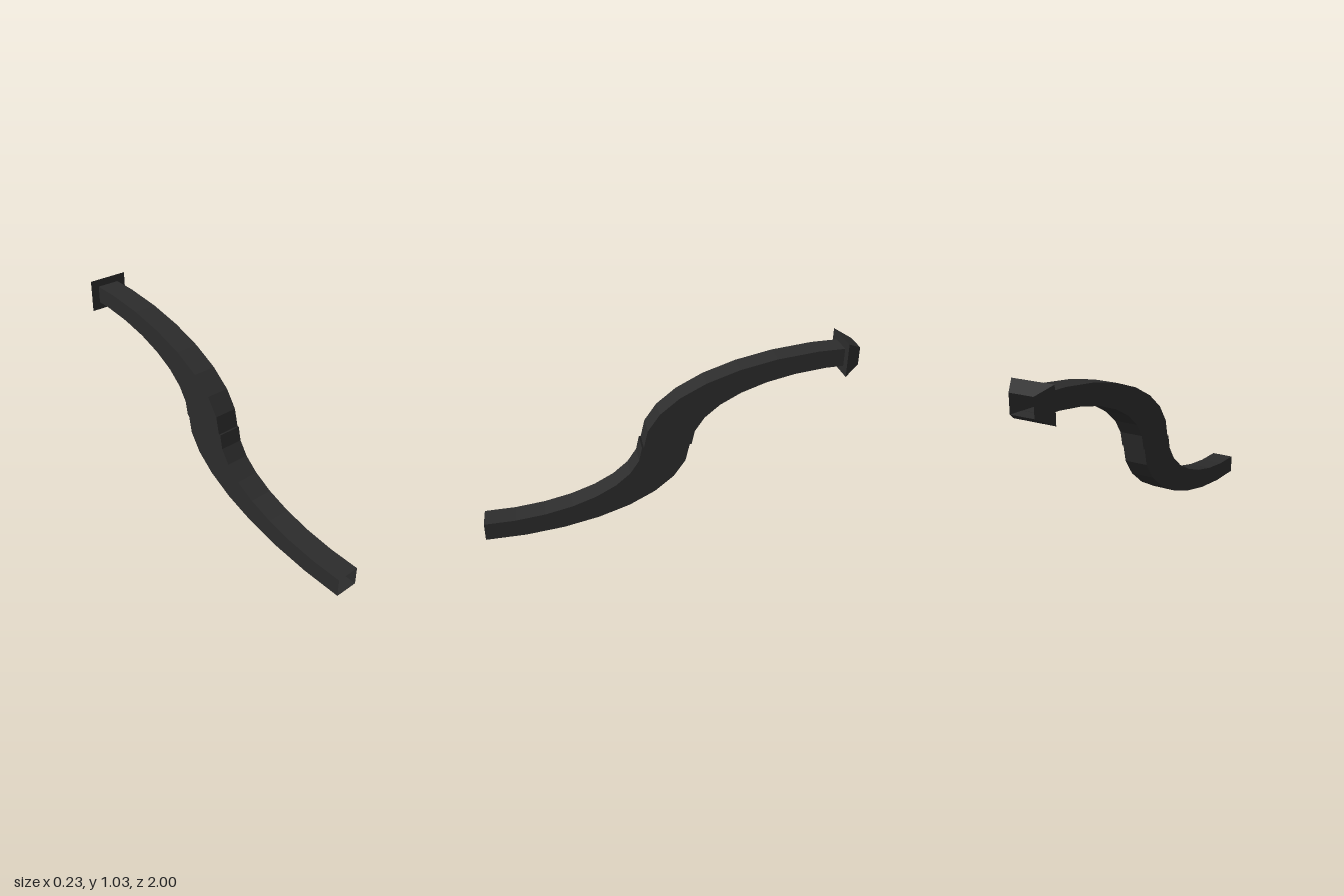
import * as THREE from 'three';

const charcoal = new THREE.MeshStandardMaterial({ color: 0x2c2c2c, side: THREE.DoubleSide });
charcoal.name = 'charcoal';

const STEPS = 8;
const HALF_WIDTH = 0.065;
const MID_Y = 0.495;

// Rectangular cross-section: corners counter-clockwise seen from the front
function ring(halfWidth, [bottomZ, bottomY], [topZ, topY]) {
  return [
    [-halfWidth, bottomY, bottomZ], [halfWidth, bottomY, bottomZ],
    [halfWidth, topY, topZ], [-halfWidth, topY, topZ],
  ];
}

// Open-ended skin through the rings, listed from front to back
function loft(name, rings) {
  const pos = [];
  for (let i = 0; i < rings.length - 1; i++) {
    const r = rings[i], s = rings[i + 1];
    for (let a = 0; a < 4; a++) {
      const b = (a + 1) % 4;
      pos.push(...r[a], ...s[a], ...s[b], ...r[a], ...s[b], ...r[b]);
    }
  }
  const geo = new THREE.BufferGeometry();
  geo.setAttribute('position', new THREE.Float32BufferAttribute(pos, 3));
  geo.computeVertexNormals();
  const mesh = new THREE.Mesh(geo, charcoal);
  mesh.name = name;
  return mesh;
}

// Quarter-ellipse bend; dir = 1 starts level at the front, -1 ends level at the back
function bend(name, dir, bottomRadii, topRadii) {
  const rings = [];
  for (let i = 0; i <= STEPS; i++) {
    const t = (dir > 0 ? i : STEPS - i) / STEPS * Math.PI / 2;
    const at = ([rz, ry]) => [
      dir * (1 - rz * Math.sin(t)),
      MID_Y - dir * ry * Math.cos(t),
    ];
    rings.push(ring(HALF_WIDTH, at(bottomRadii), at(topRadii)));
  }
  return loft(name, rings);
}

export function createModel() {
  const group = new THREE.Group();
  group.name = 'curvedDuct';

  // Two hollow bends that form the S
  group.add(bend('lowerBend', 1, [1.115, 0.495], [0.86, 0.395]));
  group.add(bend('upperBend', -1, [0.875, 0.4], [1.13, 0.495]));

  // Tapered collar around the rear opening
  const z = -0.92, w = 0.114, low = 0.85, high = 1.03;
  group.add(loft('collarTaper', [
    ring(w, [z, low], [z, high]),
    ring(HALF_WIDTH, [-1, 0.895], [-1, 0.99]),
  ]));

  // Flat front of the collar, cut out for the duct
  const face = new THREE.Shape([[-w, low], [w, low], [w, high], [-w, high]]
    .map(([x, y]) => new THREE.Vector2(x, y)));
  face.holes.push(new THREE.Path([
    [-HALF_WIDTH, 0.893], [-HALF_WIDTH, 0.988], [HALF_WIDTH, 0.988], [HALF_WIDTH, 0.893],
  ].map(([x, y]) => new THREE.Vector2(x, y))));
  const plate = new THREE.Mesh(new THREE.ShapeGeometry(face), charcoal);
  plate.name = 'collarFace';
  plate.position.z = z;
  group.add(plate);

  return group;
}
